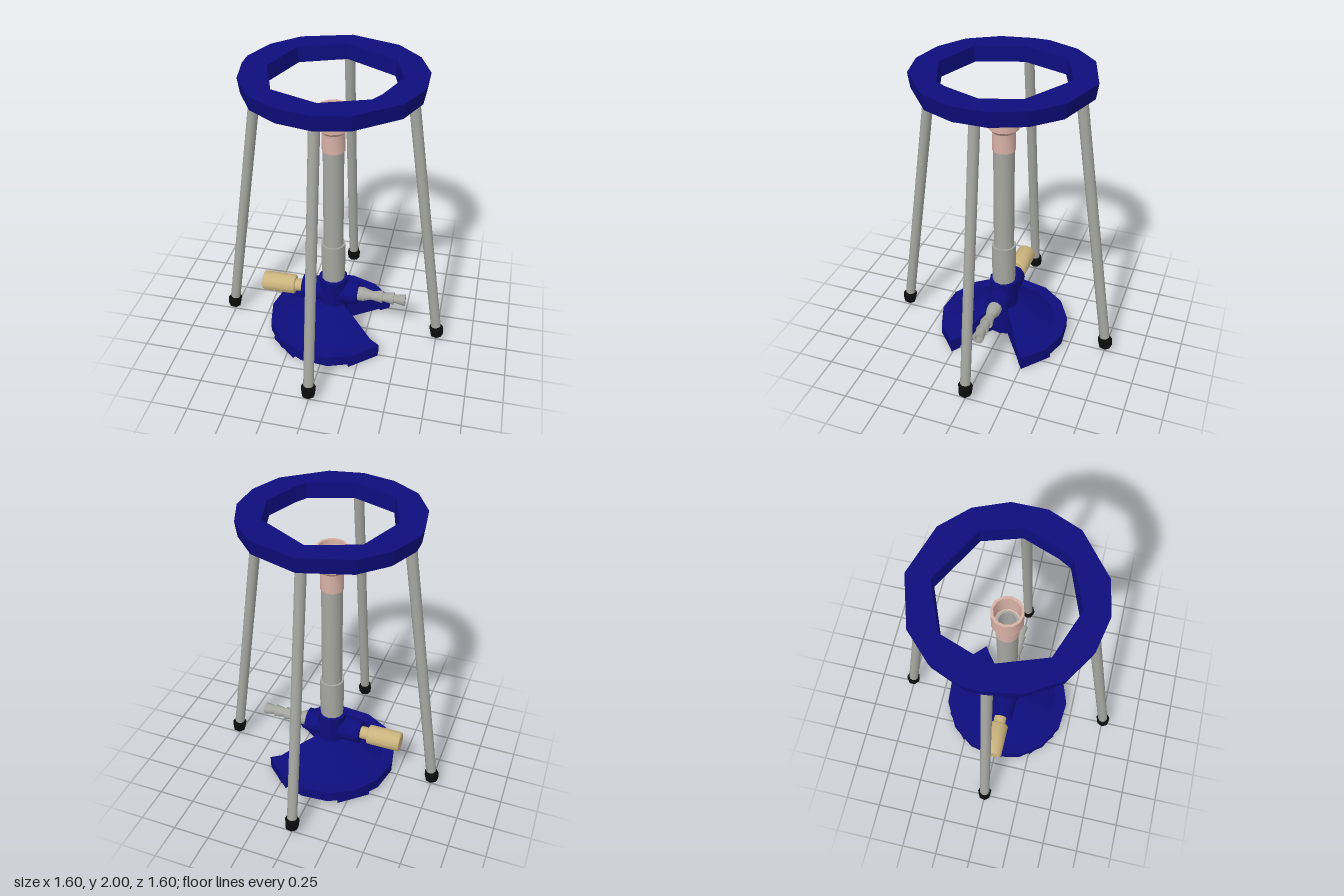
import * as THREE from 'three';
import { toCreasedNormals } from 'three/addons/utils/BufferGeometryUtils.js';

const mat = (name, color, side = THREE.FrontSide) => {
  const m = new THREE.MeshStandardMaterial({ color, side });
  m.name = name;
  return m;
};

export function createModel() {
  const blue = mat('navy enamel', 0x0d0d7c, THREE.DoubleSide);
  const steel = mat('grey steel', 0xa6a6a1);
  const copper = mat('pale copper', 0xd8b2a6);
  const brass = mat('brass', 0xcbb47e);
  const rubber = mat('black rubber', 0x0c0c0c);
  const model = new THREE.Group();
  const rad = THREE.MathUtils.degToRad;

  const add = (parent, name, geo, material) => {
    const mesh = new THREE.Mesh(geo, material);
    mesh.name = name;
    parent.add(mesh);
    return mesh;
  };
  // Turned part from [radius, height] pairs, outer side first from the bottom up
  const turned = (pts, sides, crease = 0.7, start = 0, sweep = Math.PI * 2) =>
    toCreasedNormals(new THREE.LatheGeometry(
      pts.map(([r, y]) => new THREE.Vector2(r, y)), sides, start, sweep), crease);
  // Turned part lying along x at valve height
  const lying = (pts, sides, crease) =>
    turned(pts, sides, crease).rotateZ(-Math.PI / 2).translate(0, 0.32, 0);

  // Domed base with a wedge cut out on the +x side
  const half = 34;
  const profile = [[0, 0.02], [0.455, 0.02], [0.455, 0.1], [0.375, 0.1],
    [0.2, 0.2], [0.09, 0.25], [0, 0.25]];
  add(model, 'base', turned(profile, 12, 0.5, rad(90 + half), rad(360 - 2 * half)), blue);
  const section = new THREE.Shape(profile.map(([r, y]) => new THREE.Vector2(r, y)));
  for (const s of [-1, 1]) {
    add(model, 'baseNotchWall', new THREE.ShapeGeometry(section).rotateY(s * rad(half)), blue);
  }

  // Four short pads under the rim
  for (const s of [-1, 1]) {
    for (const middle of [49.5, 130.5]) {
      const sector = new THREE.Shape();
      const a = rad(s * middle - 15), b = rad(s * middle + 15);
      sector.moveTo(0.38 * Math.cos(a), 0.38 * Math.sin(a));
      sector.lineTo(0.453 * Math.cos(a), 0.453 * Math.sin(a));
      sector.lineTo(0.453 * Math.cos(b), 0.453 * Math.sin(b));
      sector.lineTo(0.38 * Math.cos(b), 0.38 * Math.sin(b));
      const pad = new THREE.ExtrudeGeometry(sector, { depth: 0.03, bevelEnabled: false });
      add(model, 'basePad', pad.rotateX(-Math.PI / 2), blue);
    }
  }

  // Valve body: upright collar and cross barrel
  add(model, 'collar', turned([[0, 0.02], [0.1, 0.02], [0.1, 0.45], [0, 0.45]], 12), blue);
  add(model, 'valveBarrel',
    lying([[0, -0.22], [0.083, -0.22], [0.083, 0.18], [0, 0.18]], 12), blue);

  // Brass regulator knob and neck
  add(model, 'knobNeck', lying([[0.045, -0.29], [0.045, -0.21]], 10), brass);
  add(model, 'knob', lying([[0, -0.51], [0.062, -0.51], [0.07, -0.5],
    [0.07, -0.285], [0.062, -0.275], [0, -0.275]], 12), brass);

  // Barbed hose nozzle
  const barbs = [[0.05, 0.17], [0.05, 0.22], [0.033, 0.275]];
  for (const x of [0.275, 0.355, 0.435]) barbs.push([0.046, x + 0.005], [0.034, x + 0.08]);
  barbs.splice(3, barbs.length - 3,
    [0.034, 0.29], [0.046, 0.355], [0.03, 0.355], [0.044, 0.435], [0.03, 0.435],
    [0.042, 0.515], [0.02, 0.515], [0.02, 0.4], [0, 0.4]);
  add(model, 'hoseNozzle', lying(barbs, 10, 0.65), steel);

  // Hollow burner tube, air sleeve and flame cap
  add(model, 'burnerTube', turned([[0.07, 0.45], [0.07, 1.63], [0.055, 1.63], [0.055, 0.45]], 12), steel);
  add(model, 'airSleeve', turned([[0.08, 0.45], [0.085, 0.62], [0.083, 0.74], [0.07, 0.74]], 12), steel);
  add(model, 'flameCap', turned([[0.068, 1.47], [0.076, 1.47], [0.076, 1.6], [0.1, 1.625],
    [0.1, 1.77], [0.083, 1.77], [0.078, 1.63], [0.065, 1.62]], 12), copper);

  // Faceted tripod ring, slightly narrower at its lower edge
  const outer = [[0, -0.58], [0.32, -0.48], [0.48, -0.32], [0.567, -0.11], [0.567, 0.11],
    [0.48, 0.32], [0.22, 0.53], [0, 0.575], [-0.22, 0.53], [-0.41, 0.41], [-0.53, 0.21],
    [-0.567, 0], [-0.567, -0.11], [-0.48, -0.32], [-0.32, -0.48]];
  const inner = [[0, -0.43], [0.345, -0.24], [0.42, 0], [0.335, 0.23], [0.29, 0.31],
    [0, 0.42], [-0.3, 0.31], [-0.41, 0], [-0.3, -0.31]];
  const flat = (pts) => pts.map(([x, z]) => new THREE.Vector2(x, -z));
  const ringShape = new THREE.Shape(flat(outer));
  ringShape.holes.push(new THREE.Path(flat(inner)));
  const ring = new THREE.ExtrudeGeometry(ringShape, { depth: 0.1, bevelEnabled: false });
  ring.rotateX(-Math.PI / 2).translate(0, 1.9, 0);
  const p = ring.attributes.position;
  for (let i = 0; i < p.count; i++) {
    if (p.getY(i) < 1.95) p.setXYZ(i, p.getX(i) * 0.975, p.getY(i), p.getZ(i) * 0.975);
  }
  ring.computeVertexNormals();
  add(model, 'tripodRing', ring, blue);

  // Four splayed legs with pointed rubber tips
  for (let i = 0; i < 4; i++) {
    const turn = new THREE.Group();
    turn.name = 'tripodLeg';
    turn.rotation.y = i * Math.PI / 2;
    const leg = new THREE.Group();
    leg.name = 'legWithTip';
    leg.position.set(0.757, 0.03, 0);
    leg.rotation.z = 0.145;
    add(leg, 'legRod', turned([[0.035, 0.05], [0.035, 1.91], [0, 1.91]], 10), steel);
    add(leg, 'legTip', turned([[0, -0.02], [0.045, 0.02], [0.05, 0.08],
      [0.04, 0.1], [0.03, 0.1]], 7, 0.4), rubber);
    turn.add(leg);
    model.add(turn);
  }
  return model;
}
